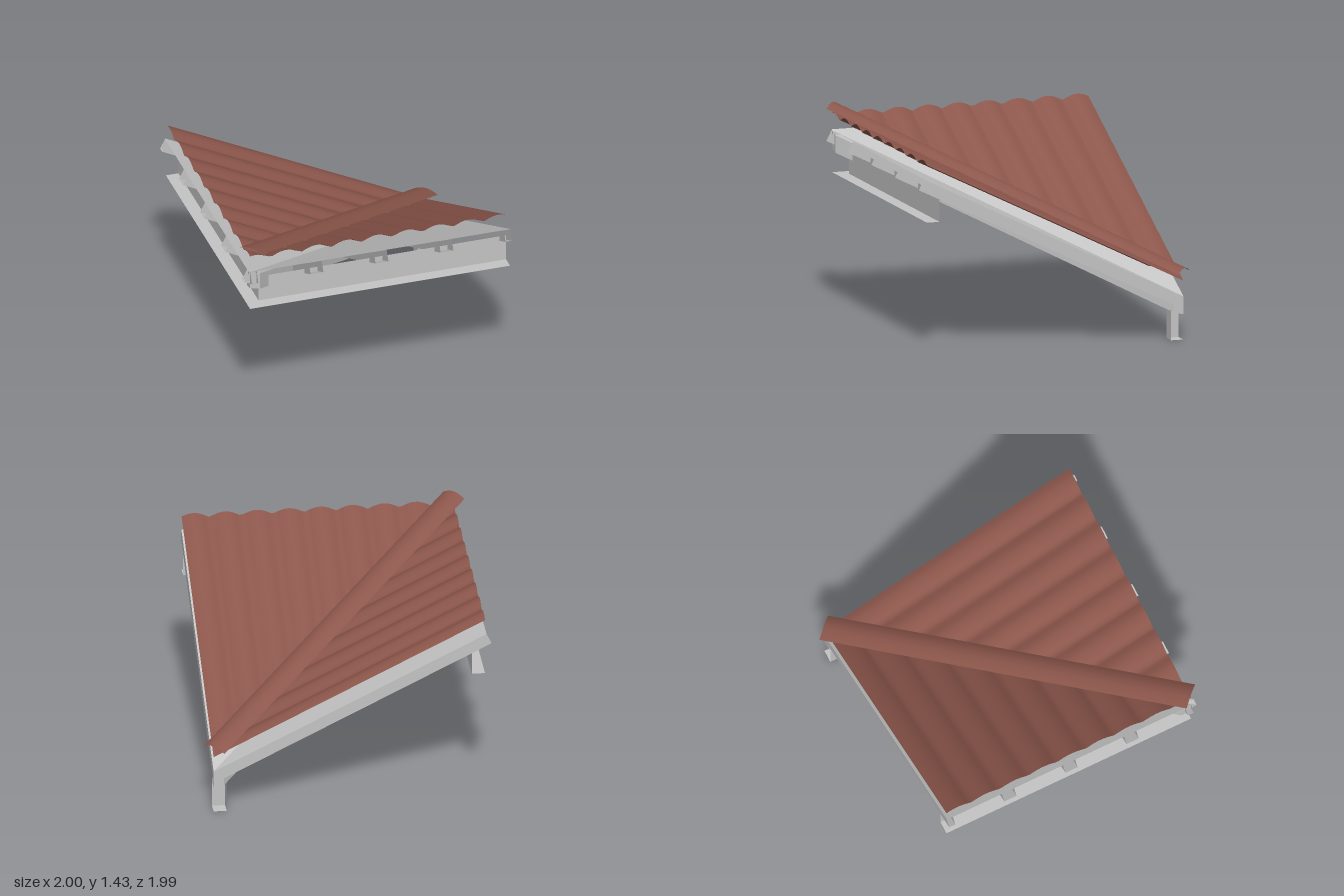
import * as THREE from 'three';

const E = 0.93;       // half the plan size
const PITCH = 0.5;    // roof slope
const DECK = 0.766;   // deck height above the plan centre

export function createModel() {
  const model = new THREE.Group();
  const red = new THREE.MeshStandardMaterial({ color: 0x8c564b, side: THREE.DoubleSide });
  red.name = 'roofRed';
  const grey = new THREE.MeshStandardMaterial({ color: 0xc4c4c4, side: THREE.DoubleSide });
  grey.name = 'frameGrey';

  const add = (name, geo, mat) => {
    const mesh = new THREE.Mesh(geo, mat);
    mesh.name = name;
    model.add(mesh);
  };

  // Adds a part and its reflection across the valley: (x, y, z) -> (-z, y, -x)
  const both = (name, geo, mat) => {
    add(name + 'Front', geo, mat);
    const m = geo.clone();
    const p = m.attributes.position;
    for (let i = 0; i < p.count; i++) p.setXYZ(i, -geo.attributes.position.getZ(i), p.getY(i), -geo.attributes.position.getX(i));
    const a = m.index.array;
    for (let i = 0; i < a.length; i += 3) [a[i], a[i + 1]] = [a[i + 1], a[i]];
    m.computeVertexNormals();
    add(name + 'Side', m, mat);
  };

  // Box whose unit coordinates are moved by a rule; open boxes lose both z ends
  const warpBox = (rule, open = false) => {
    const g = new THREE.BoxGeometry(1, 1, 1).translate(0.5, 0.5, 0.5);
    if (open) g.setIndex([...g.index.array].slice(0, 24));
    g.clearGroups();
    const p = g.attributes.position;
    for (let i = 0; i < p.count; i++) p.setXYZ(i, ...rule(p.getX(i), p.getY(i), p.getZ(i)));
    g.computeVertexNormals();
    return g;
  };

  // Sheet grid from a rule over u, v in 0..1
  const sheet = (nu, nv, rule) => {
    const g = new THREE.PlaneGeometry(1, 1, nu, nv);
    const p = g.attributes.position;
    for (let i = 0; i < p.count; i++) p.setXYZ(i, ...rule(p.getX(i) + 0.5, 0.5 - p.getY(i)));
    g.computeVertexNormals();
    return g;
  };
  const lerp = THREE.MathUtils.lerp;

  // Corrugated roofing, a triangle on each side of the valley
  const PERIOD = 0.2174;
  both('corrugatedRoof', sheet(70, 1, (u, v) => {
    const x = lerp(-E, E, u);
    const z = lerp(-x, E, v);
    const wave = 0.036 * Math.abs(Math.sin(Math.PI * (x - 0.958) / PERIOD));
    return [x, 0.86 + PITCH * z + wave, z];
  }), red);

  // Flat deck under the roofing
  both('roofDeck', sheet(1, 1, (u, v) => {
    const x = lerp(-E, E, u);
    const z = lerp(-x, E + 0.01, v);
    return [x, DECK + PITCH * z, z];
  }), grey);

  // Curved cap along the valley
  add('valleyCap', sheet(10, 1, (u, v) => {
    const k = 2 * u - 1;
    const x = lerp(0.93, -0.935, v) + k * 0.065;
    const z = lerp(-0.935, 0.927, v) + k * 0.065;
    return [x, 0.93 - lerp(0.4663, -0.4655, v) + 0.03 * (1 - k * k), z];
  }), red);

  // Valley beam with pointed ends in plan
  const c = E - 0.07;
  const plan = new THREE.Shape([[-E, -E], [-c, -E], [E, c], [E, E], [c, E], [-E, -c]]
    .map(([x, y]) => new THREE.Vector2(x, y)));
  const beam = new THREE.ExtrudeGeometry(plan, { depth: 1, bevelEnabled: false }).rotateX(-Math.PI / 2);
  const bp = beam.attributes.position;
  for (let i = 0; i < bp.count; i++) {
    bp.setY(i, lerp(0.64, DECK - 0.004, bp.getY(i)) - 0.25 * (bp.getX(i) - bp.getZ(i)));
  }
  beam.computeVertexNormals();
  add('valleyBeam', beam, grey);

  // Rafters with open, square-cut tails
  for (let i = -2; i <= 2; i++) {
    const x0 = Math.max(-E, i * 0.465 - 0.046);
    const x1 = Math.min(E, i * 0.465 + 0.046);
    both('rafter' + (i + 3), warpBox((u, v, w) => {
      const x = lerp(x0, x1, u);
      const z = lerp(-x, lerp(0.972, 0.935, v), w);
      return [x, lerp(0.675, DECK - 0.002, v) + PITCH * z, z];
    }, true), grey);
  }

  // Purlins between the rafters
  [0.465, 0, -0.465].forEach((z0, i) => {
    both('purlin' + (i + 1), warpBox((u, v, w) => {
      const zTop = z0 + (w - 0.5) * 0.063;
      const z = zTop + (1 - v) * 0.015;
      return [lerp(-zTop, E, u), DECK - 0.003 + PITCH * zTop - (1 - v) * 0.03, z];
    }), grey);
  });

  // Fascia wall and the soffit strip at its foot
  both('fascia', sheet(1, 1, (u, v) => [lerp(-0.84, E, u), lerp(1.13, 0.94, v), 0.84]), grey);
  both('soffit', sheet(1, 1, (u, v) => {
    const z = lerp(0.84, E, v);
    return [lerp(-z, E, u), 0.94, z];
  }), grey);

  // Angle post and foot plate at the low corner
  both('cornerPost', sheet(1, 1, (u, v) => [lerp(0.84, E, u), lerp(0.21, 0, v), -0.84]), grey);
  add('footPlate', sheet(1, 1, (u, v) => [lerp(0.84, E, u), 0, lerp(-E, -0.84, v)]), grey);

  return model;
}
